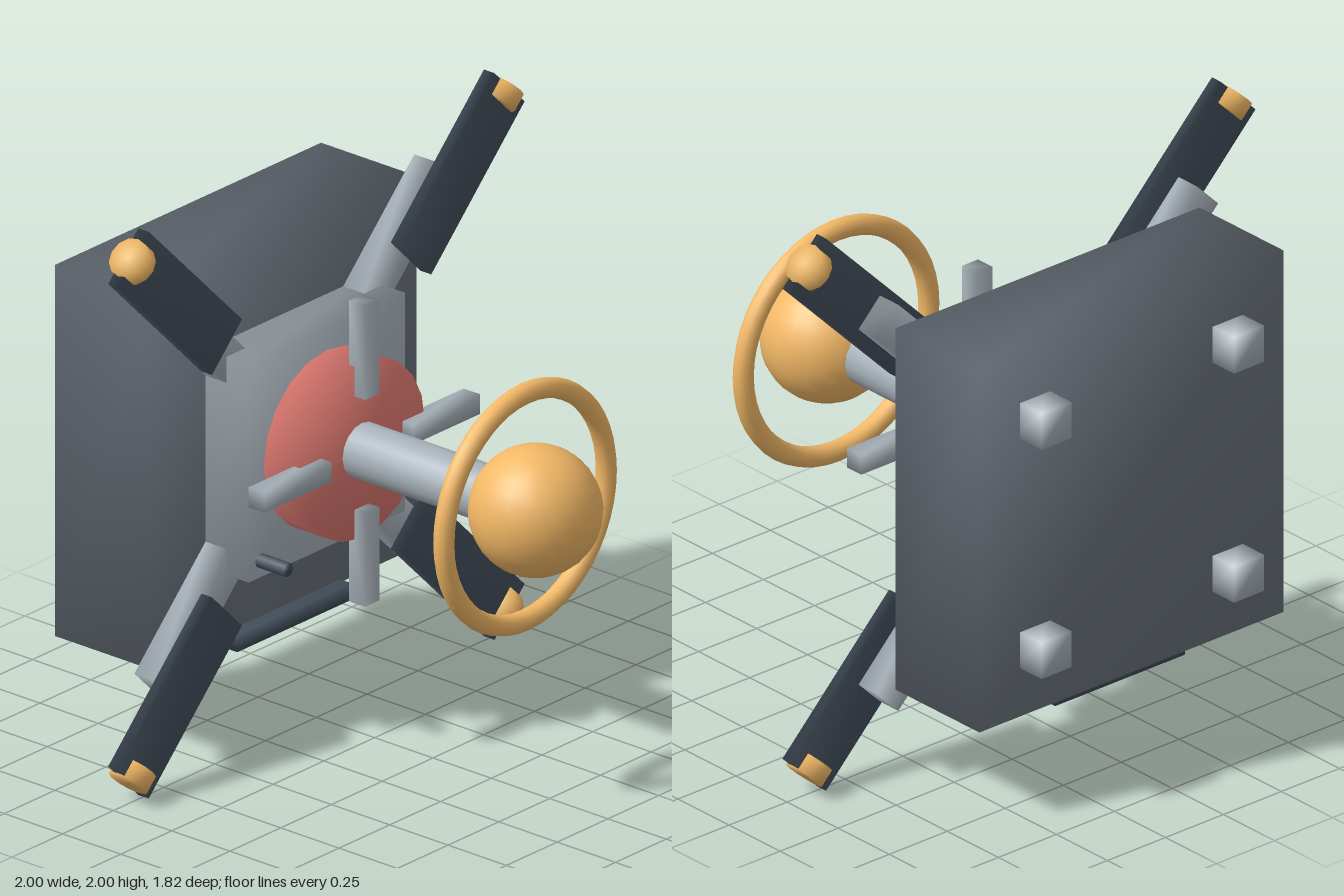
import * as THREE from 'three';
import { mergeVertices } from 'three/addons/utils/BufferGeometryUtils.js';

const paint = (color) => new THREE.MeshStandardMaterial({ color });
const bodyGrey = paint(0x6b737d), dark = paint(0x434e5a), steel = paint(0xa9b3bb);
const red = paint(0xe07a72), gold = paint(0xf2b866);

// Weld corners so normals blend softly over each solid
function soften(geometry) {
  geometry.deleteAttribute('uv');
  geometry.deleteAttribute('normal');
  const welded = mergeVertices(geometry, 1e-4);
  welded.computeVertexNormals();
  return welded;
}

function add(parent, name, geometry, material, x, y, z) {
  const mesh = new THREE.Mesh(geometry, material);
  mesh.name = name;
  mesh.position.set(x, y, z);
  parent.add(mesh);
  return mesh;
}

const box = (w, h, d) => soften(new THREE.BoxGeometry(w, h, d));
// Cylinder lying along z
const rod = (r, length, sides) =>
  soften(new THREE.CylinderGeometry(r, r, length, sides).rotateX(Math.PI / 2));

export function createModel() {
  const model = new THREE.Group();
  model.name = 'probe';
  const cy = 1.005;

  // Main housing and the block in front of it
  add(model, 'housing', box(1.31, 1.31, 0.41), bodyGrey, 0, cy, -0.595);
  add(model, 'frontBlock', box(0.77, 0.77, 0.185), steel, 0, cy, -0.2975);

  // Rear bolts
  for (const x of [-0.415, 0.415])
    for (const y of [-0.415, 0.415])
      add(model, 'rearBolt', box(0.13, 0.13, 0.13), steel, x, cy + y, -0.84);

  // Collar, shaft, ball and ring on the front axis
  add(model, 'collar', rod(0.31, 0.155, 20), red, 0, cy, -0.1325);
  add(model, 'shaft', rod(0.095, 0.7, 16), steel, 0, cy, 0.15);
  add(model, 'ball', new THREE.SphereGeometry(0.22, 24, 16), gold, 0, cy, 0.69);
  add(model, 'ring', new THREE.TorusGeometry(0.4, 0.035, 12, 48), gold, 0, cy, 0.645);

  for (let i = 0; i < 4; i++) {
    // Short bars around the shaft
    const spoke = new THREE.Group();
    spoke.name = 'spoke';
    spoke.position.y = cy;
    spoke.rotation.z = i * Math.PI / 2;
    add(spoke, 'spokeBar', box(0.33, 0.07, 0.07), steel, 0.365, 0, -0.045);
    model.add(spoke);

    // Diagonal arms: strut, panel and tip light
    const arm = new THREE.Group();
    arm.name = 'arm';
    arm.position.y = cy;
    arm.rotation.z = Math.PI / 4 + i * Math.PI / 2;
    add(arm, 'strut', box(0.5, 0.13, 0.09), steel, 0.725, 0, -0.345);
    add(arm, 'panel', box(0.65, 0.21, 0.045), dark, 0.984, 0, -0.25);
    const tip = soften(new THREE.CylinderGeometry(0.07, 0.07, 0.062, 12).rotateZ(Math.PI / 2));
    add(arm, 'tipLight', tip, gold, 1.281, 0, -0.25);
    model.add(arm);
  }

  // Thin rods beside the collar
  add(model, 'leftRod', rod(0.022, 0.28, 8), dark, 0.367, 0.77, -0.235);
  add(model, 'rightRod', rod(0.025, 0.28, 8), dark, -0.328, 0.68, -0.225);

  // Base plate with a three-sided button below it
  add(model, 'basePlate', box(0.56, 0.06, 0.4), dark, 0, 0.33, -0.545);
  const button = soften(new THREE.CylinderGeometry(0.13, 0.13, 0.04, 3).rotateY(-Math.PI / 2));
  add(model, 'baseButton', button, red, 0, 0.3, -0.545);

  return model;
}
